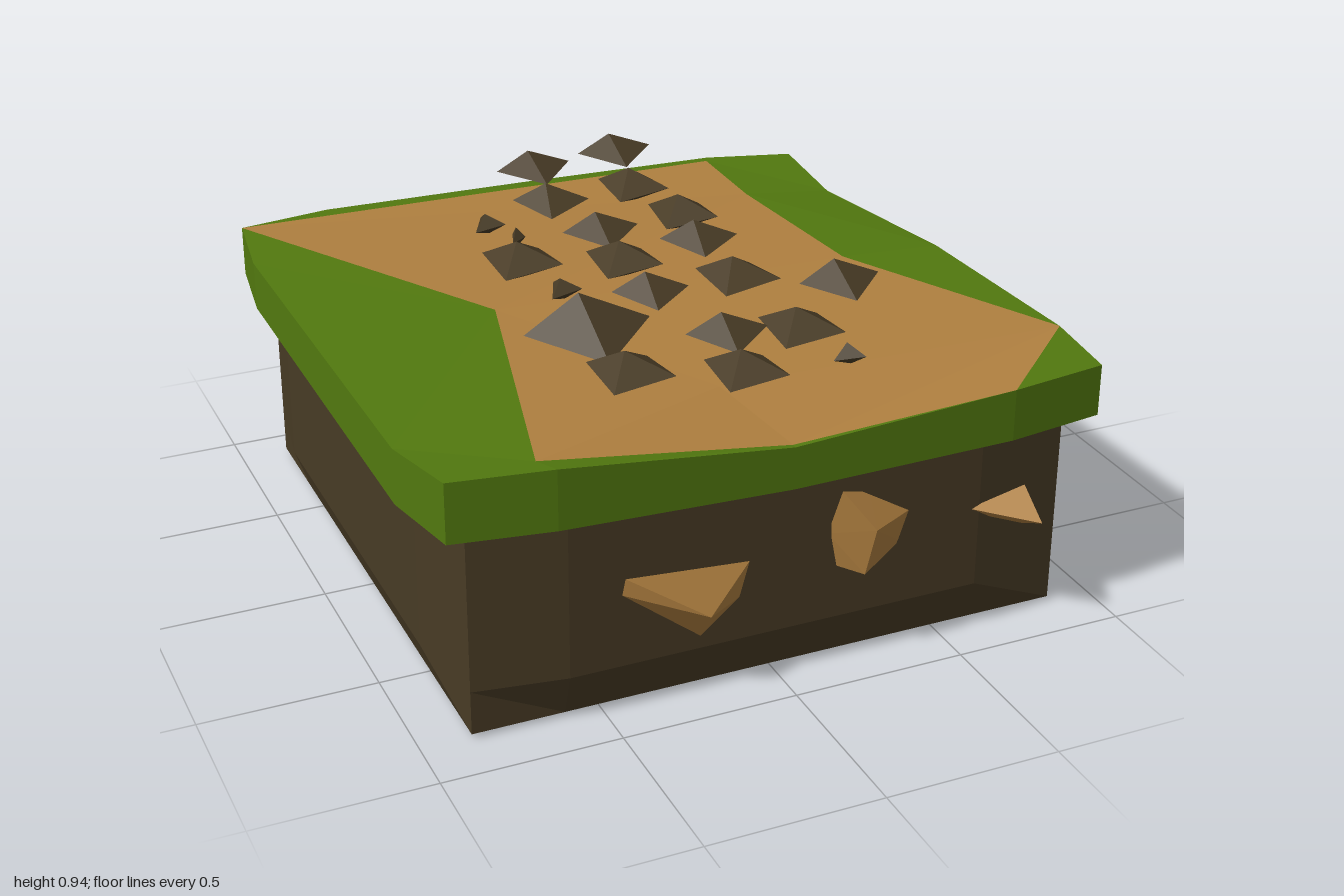
import * as THREE from 'three';
import { ConvexGeometry } from 'three/addons/geometries/ConvexGeometry.js';

const mat = (name, color) => {
  const m = new THREE.MeshStandardMaterial({ color });
  m.name = name;
  return m;
};

const V = (x, y, z) => new THREE.Vector3(x, y, z);
const UP = V(0, 1, 0), DOWN = V(0, -1, 0);

// Flat-shaded faces; each polygon is fanned and turned to face its "out" direction
function faceted(faces) {
  const pos = [];
  for (const { pts, out } of faces) {
    for (let i = 1; i < pts.length - 1; i++) {
      const [a, b, c] = [pts[0], pts[i], pts[i + 1]];
      const n = b.clone().sub(a).cross(c.clone().sub(a));
      for (const p of n.dot(out) < 0 ? [a, c, b] : [a, b, c]) pos.push(p.x, p.y, p.z);
    }
  }
  const g = new THREE.BufferGeometry();
  g.setAttribute('position', new THREE.Float32BufferAttribute(pos, 3));
  g.computeVertexNormals();
  return g;
}

const outward = (a, b) => V(a.x + b.x, 0, a.z + b.z);

export function createModel() {
  const model = new THREE.Group();
  const grass = mat('grass green', 0x52790f);
  const path = mat('path tan', 0xb08040);
  const earth = mat('dark earth', 0x483b25);
  const add = (name, geometry, material, parent = model) => {
    const m = new THREE.Mesh(geometry, material);
    m.name = name;
    parent.add(m);
    return m;
  };

  // Grass rim: outline points with top height, and bottom height of the skirt
  const rim = [
    [-0.93, 0.75, -0.96, 0.6], [-0.65, 0.75, -1, 0.6], [0, 0.74, -1, 0.595], [0.65, 0.725, -1, 0.6],
    [0.93, 0.71, -0.96, 0.6], [0.92, 0.69, -0.66, 0.59], [0.945, 0.75, 0, 0.6], [0.97, 0.755, 0.65, 0.605],
    [0.94, 0.755, 0.91, 0.605], [0.65, 0.755, 0.95, 0.605], [0, 0.72, 0.95, 0.598], [-0.65, 0.795, 0.95, 0.622],
    [-0.93, 0.797, 0.91, 0.625], [-0.97, 0.765, 0.63, 0.605], [-0.97, 0.75, -0.68, 0.605],
  ];
  const top = rim.map(([x, y, z]) => V(x, y, z));
  const low = rim.map(([x, , z, b]) => V(x, b, z));

  // Corners of the dirt path
  const B = V(0.64, 0.72, -0.985), K = V(0.64, 0.715, -0.68), C = V(0.64, 0.758, -0.02);
  const F = V(0, 0.722, 0.938), G = V(-0.68, 0.79, 0.88), H = V(-0.44, 0.763, -0.06);
  const I = V(-0.07, 0.768, 0.64);
  const A = top[0], D = top[7], E = top[9];

  const skirt = [];
  top.forEach((p, i) => {
    const j = (i + 1) % top.length;
    skirt.push({ pts: [p, top[j], low[j], low[i]], out: outward(p, top[j]) });
    skirt.push({ pts: [V(0, 0.6, 0), low[i], low[j]], out: DOWN });
  });
  const lawn = [
    [A, top[14], H], [top[14], top[13], H], [top[13], G, H], [top[13], top[12], G],
    [top[12], top[11], G], [top[11], top[10], F, G],
    [top[10], E, F], [D, top[8], E],
    [C, D, top[6]], [K, C, top[6]], [K, top[6], top[5]], [B, K, top[5]], [B, top[5], top[4]],
    [B, top[4], top[3]], [A, top[1], B], [top[1], top[2], B], [top[2], top[3], B],
  ].map(pts => ({ pts, out: UP }));
  add('grassRim', faceted([...skirt, ...lawn]), grass);

  const pathFaces = [
    [A, B, K], [A, K, H], [H, K, C], [H, C, I], [H, I, G], [C, D, I], [G, I, F], [I, D, F], [D, E, F],
  ].map(pts => ({ pts, out: UP }));
  add('dirtPath', faceted(pathFaces), path);

  // Earth block with bevelled foot
  const plan = [
    [-0.86, -0.89], [-0.6, -0.935], [0.6, -0.935], [0.87, -0.89], [0.905, -0.61], [0.905, 0.58],
    [0.87, 0.845], [0.6, 0.885], [-0.6, 0.885], [-0.86, 0.845], [-0.905, 0.58], [-0.905, -0.61],
  ];
  const clamp = THREE.MathUtils.clamp;
  const ring = y => plan.map(([x, z]) => V(x, y, z));
  const foot = plan.map(([x, z]) => V(clamp(x, -0.86, 0.87), 0.012, clamp(z, -0.89, 0.845)));
  const knee = ring(0.14), head = ring(0.63);
  const block = [];
  plan.forEach((_, i) => {
    const j = (i + 1) % plan.length, out = outward(knee[i], knee[j]);
    block.push({ pts: [knee[i], knee[j], head[j], head[i]], out });
    block.push({ pts: [V(0, 0, 0), foot[i], foot[j]], out: DOWN });
    if (i !== 4) {
      block.push({ pts: [foot[i], foot[j], knee[j], knee[i]], out });
    } else {
      // Undercut notch along the left side
      const a = V(0.82, 0.14, knee[i].z), b = V(0.82, 0.14, knee[j].z);
      block.push({ pts: [foot[i], foot[j], b, a], out });
      block.push({ pts: [a, b, knee[j], knee[i]], out: DOWN });
      block.push({ pts: [foot[i], knee[i], a], out: V(0, 0, 1) });
      block.push({ pts: [foot[j], knee[j], b], out: V(0, 0, -1) });
    }
  });
  add('earthBlock', faceted(block), earth);

  // Tan rocks set in the front of the block
  const frontRocks = [
    [[-0.46, 0.41, 0.88], [-0.47, 0.36, 0.88], [-0.08, 0.38, 0.88], [-0.23, 0.17, 0.88], [-0.11, 0.27, 0.88], [-0.23, 0.27, 0.95]],
    [[0.17, 0.53, 0.9], [0.26, 0.5, 0.88], [0.39, 0.42, 0.88], [0.36, 0.33, 0.88], [0.23, 0.28, 0.93], [0.16, 0.3, 0.88], [0.14, 0.4, 0.88], [0.25, 0.42, 0.95]],
    [[0.57, 0.38, 0.88], [0.73, 0.43, 0.9], [0.73, 0.31, 0.9], [0.64, 0.34, 0.88], [0.73, 0.36, 1]],
  ];
  const rocks = new THREE.Group();
  rocks.name = 'frontRocks';
  model.add(rocks);
  for (const pts of frontRocks) add('frontRock', new ConvexGeometry(pts.map(p => V(...p))), path, rocks);

  // Path stones: x, z, radius, turn, sides, base height, peak height
  const stones = [
    [-0.02, -0.85, 0.12, 0.0, 4], [0.27, -0.89, 0.12, 0.05, 4],
    [-0.07, -0.57, 0.115, 0.35, 4], [0.21, -0.59, 0.115, 0.75, 4],
    [-0.02, -0.3, 0.115, 0.1, 4], [0.26, -0.33, 0.115, 0.85, 4],
    [-0.31, -0.18, 0.125, 0.75, 4], [-0.04, -0.07, 0.12, 0.8, 4],
    [0.22, -0.13, 0.115, 0.25, 4], [-0.06, 0.16, 0.11, 0.2, 4],
    [0.21, 0.16, 0.125, 0.7, 4], [0.02, 0.49, 0.115, 0.15, 4],
    [0.22, 0.54, 0.125, 0.8, 4], [-0.31, 0.61, 0.125, 0.75, 4], [-0.03, 0.72, 0.12, 0.8, 4],
    [-0.31, 0.31, 0.18, 0.05, 4, 0.77, 0.94], [0.42, 0.37, 0.12, 0.05, 4, 0.84, 0.94],
    [-0.3, -0.5, 0.055, 0.5, 3], [-0.255, -0.37, 0.025, 0.3, 3],
    [-0.27, 0.03, 0.055, 0.4, 3], [0.27, 0.72, 0.05, 0.9, 3],
  ];
  const pile = new THREE.Group();
  pile.name = 'pathStones';
  model.add(pile);
  stones.forEach(([x, z, r, turn, sides, base = 0.81, peak = sides === 3 ? 0.865 : 0.9]) => {
    const h = peak - base;
    const pts = [V(x - 0.1 * r, peak, z - 0.1 * r), V(x, base, z + 0.25 * r)];
    for (let k = 0; k < sides; k++) {
      const a = turn + (k * 2 * Math.PI) / sides;
      pts.push(V(x + r * Math.cos(a), base + h * (k % 2 ? 0.25 : 0.45), z + r * Math.sin(a)));
    }
    add('pathStone', new ConvexGeometry(pts), earth, pile);
  });
  return model;
}
